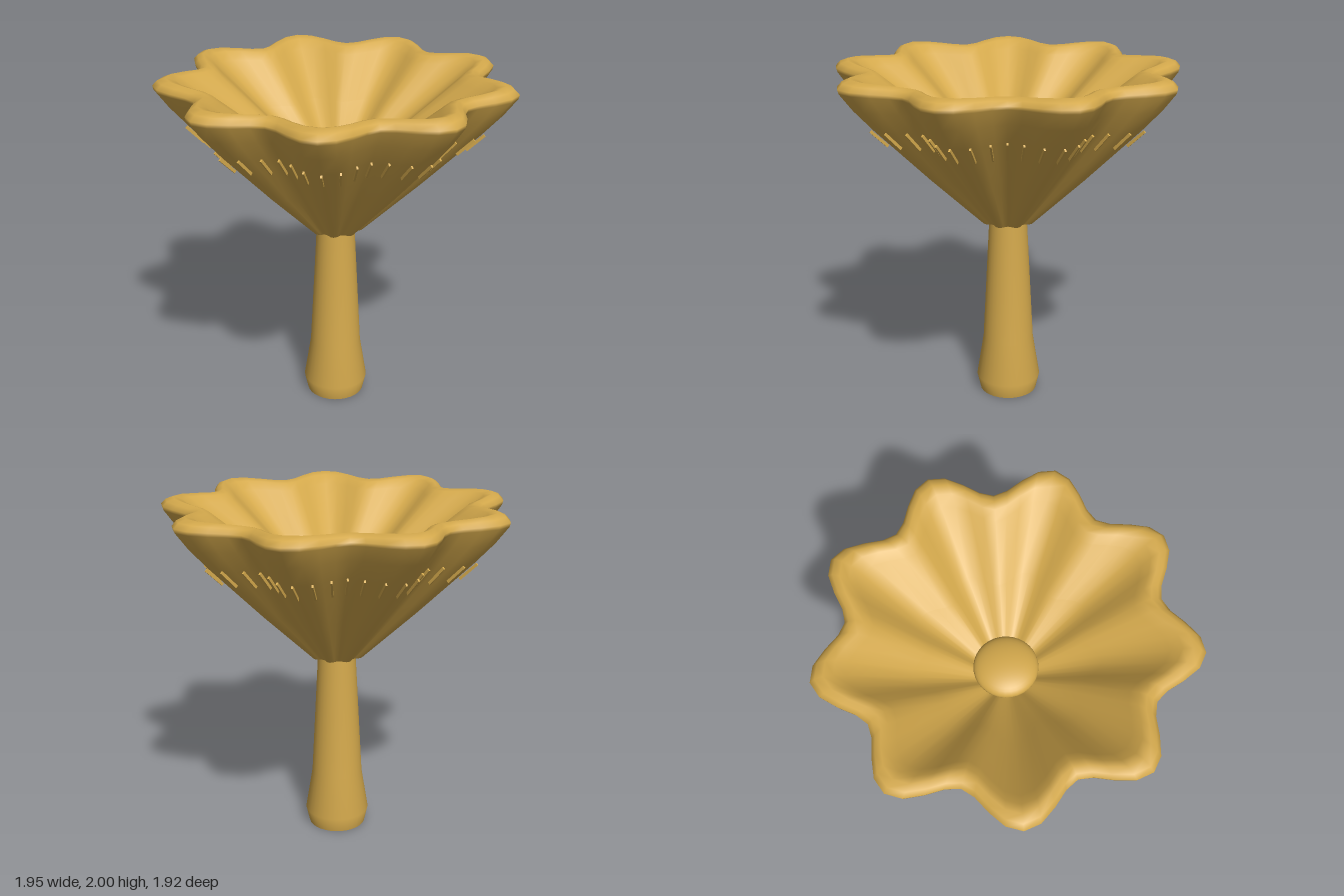
import * as THREE from 'three';

const LOBES = 9, SEGMENTS = 72, AXIS_Z = 0.025;

// Radial flutes: one lobe points to the back (angle 0 = -z)
const wave = (a) => 1 + 0.1 * Math.cos(LOBES * a);

// Fluted surface swept around the axis from [radius, y] points
function flutedSurface(profile) {
  const pos = [], index = [];
  for (const [r, y] of profile) {
    const lift = Math.max(0, (y - 1.9) * 0.09);
    for (let i = 0; i < SEGMENTS; i++) {
      const a = (i / SEGMENTS) * Math.PI * 2;
      const q = r * wave(a);
      pos.push(q * Math.sin(a), y + lift * (Math.cos(LOBES * a) - 1), -q * Math.cos(a));
    }
  }
  for (let j = 0; j < profile.length - 1; j++) {
    for (let i = 0; i < SEGMENTS; i++) {
      const n = (i + 1) % SEGMENTS;
      const a = j * SEGMENTS + i, b = j * SEGMENTS + n;
      const c = a + SEGMENTS, d = b + SEGMENTS;
      index.push(a, c, b, b, c, d);
    }
  }
  const g = new THREE.BufferGeometry();
  g.setAttribute('position', new THREE.Float32BufferAttribute(pos, 3));
  g.setIndex(index);
  g.computeVertexNormals();
  return g;
}

export function createModel() {
  const model = new THREE.Group();
  model.name = 'mushroom';
  const ochre = new THREE.MeshStandardMaterial({ color: 0xd4a94c });
  ochre.name = 'ochre';

  const add = (name, geometry, parent = model) => {
    const mesh = new THREE.Mesh(geometry, ochre);
    mesh.name = name;
    parent.add(mesh);
    return mesh;
  };

  // Stem with a swollen foot, running up into the cap
  const stem = [[0.17, 0], [0.19, 0.09], [0.15, 0.34], [0.11, 1.09], [0.1, 1.45]];
  add('stem', new THREE.LatheGeometry(stem.map(([x, y]) => new THREE.Vector2(x, y)), 32));
  add('stemBase', new THREE.CircleGeometry(0.17, 32).rotateX(Math.PI / 2));

  // Funnel cap: outer wall, rolled rim and inner wall
  add('cap', flutedSurface([
    [0.145, 1.09], [0.44, 1.4], [0.73, 1.72], [0.83, 1.84], [0.895, 1.935], [0.9, 1.957],
    [0.875, 1.984], [0.835, 2.0], [0.79, 1.985], [0.74, 1.94], [0.45, 1.715], [0.16, 1.49], [0.02, 1.48],
  ]));
  add('capUnderside', flutedSurface([[0.01, 1.09], [0.145, 1.09]]));

  // Low dome in the middle of the funnel
  const dome = add('centreDome', new THREE.SphereGeometry(0.175, 32, 20));
  dome.scale.y = 0.4;
  dome.position.y = 1.55;

  // Short gill ridges lying on the outer wall
  const gills = new THREE.Group();
  gills.name = 'gills';
  const count = 54;
  for (let i = 0; i < count; i++) {
    const a = (i / count) * Math.PI * 2;
    const pivot = new THREE.Group();
    pivot.rotation.y = Math.PI - a;
    const gill = add('gill', new THREE.BoxGeometry(0.01, 0.016, 0.13), pivot);
    gill.position.set(0, 1.675, 0.705 * wave(a));
    gill.rotation.x = -Math.atan2(0.63, 0.585 * wave(a));
    gills.add(pivot);
  }
  model.add(gills);

  model.children.forEach((part) => { part.position.z = AXIS_Z; });
  return model;
}
